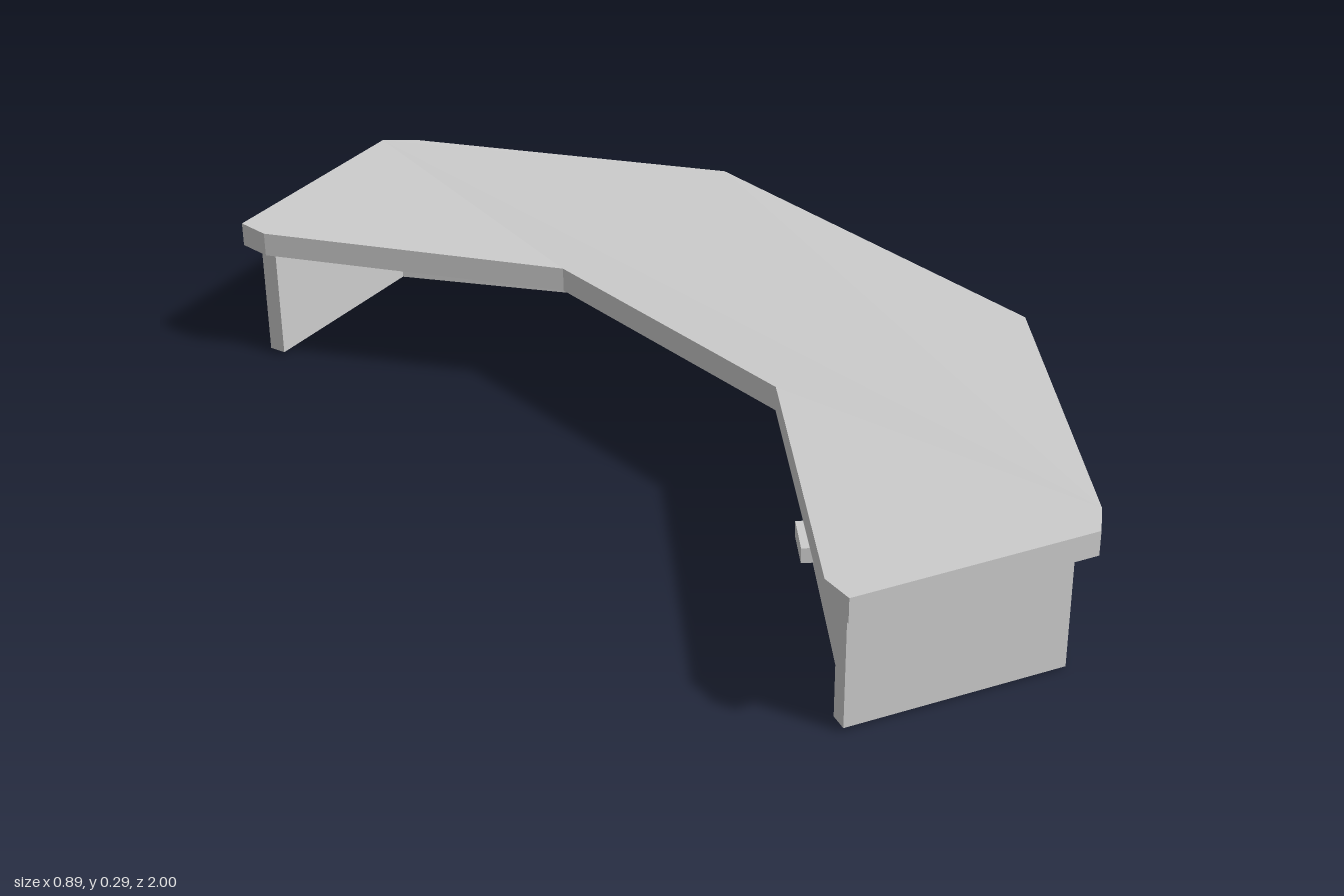
import * as THREE from 'three';

const material = new THREE.MeshStandardMaterial({ color: 0xcccccc, flatShading: true });

// Upright prism over a plan outline of [x, z] points; lift(x, z) adds a slight slope.
function prism(name, plan, bottom, top, lift = () => 0) {
  const shape = new THREE.Shape(plan.map(([x, z]) => new THREE.Vector2(x, -z)));
  const geometry = new THREE.ExtrudeGeometry(shape, { depth: top - bottom, bevelEnabled: false });
  geometry.rotateX(-Math.PI / 2).translate(0, bottom, 0);
  const p = geometry.attributes.position;
  for (let i = 0; i < p.count; i++) {
    p.setY(i, p.getY(i) + lift(p.getX(i), p.getZ(i), p.getY(i)));
  }
  geometry.computeVertexNormals();
  const mesh = new THREE.Mesh(geometry, material);
  mesh.name = name;
  return mesh;
}

// Completes a half outline (z > 0) with its mirror image at z < 0.
const mirrored = (half) => [...half, ...half.map(([x, z]) => [x, -z]).reverse()];

export function createModel() {
  const group = new THREE.Group();
  group.name = 'angledDesk';

  // Worktop: three angled sections whose outer ends rise very slightly
  const topPlan = mirrored([
    [-0.08, 0.302], [-0.437, 0.8], [-0.446, 0.865], [-0.008, 1], [0.045, 0.955], [0.445, 0.42],
  ]);
  const rise = (x, z) => 0.008 * THREE.MathUtils.clamp((Math.abs(z) - 0.42) / 0.53, 0, 1);
  group.add(prism('worktop', topPlan, 0.235, 0.283, rise));

  // Skirt: thin wall along the outer side, returning at both ends
  const outer = [[-0.422, 0.838], [-0.02, 0.96], [0.405, 0.41]];
  const inner = [[-0.412, 0.805], [-0.033, 0.92], [0.37, 0.398]];
  const skirtPlan = [...mirrored(outer), ...mirrored(inner).reverse()];
  const slope = (x, z, y) => (y < 0.1 ? 0.01 * (0.405 - x) : 0);
  group.add(prism('skirtPanels', skirtPlan, 0, 0.238, slope));

  // Drawer cabinet, hung inside one wing only
  const cabinetPlan = [[-0.04, 0.32], [0.385, 0.405], [-0.026, 0.93], [-0.405, 0.815]];
  group.add(prism('drawerCabinet', cabinetPlan, 0.056, 0.237));

  // Drawer handle, centred on the cabinet front
  const handle = new THREE.Mesh(new THREE.BoxGeometry(0.085, 0.03, 0.04), material);
  handle.name = 'drawerHandle';
  handle.position.set(-0.236, 0.15, 0.558);
  handle.rotation.y = Math.atan2(0.495, 0.365);
  group.add(handle);

  return group;
}
